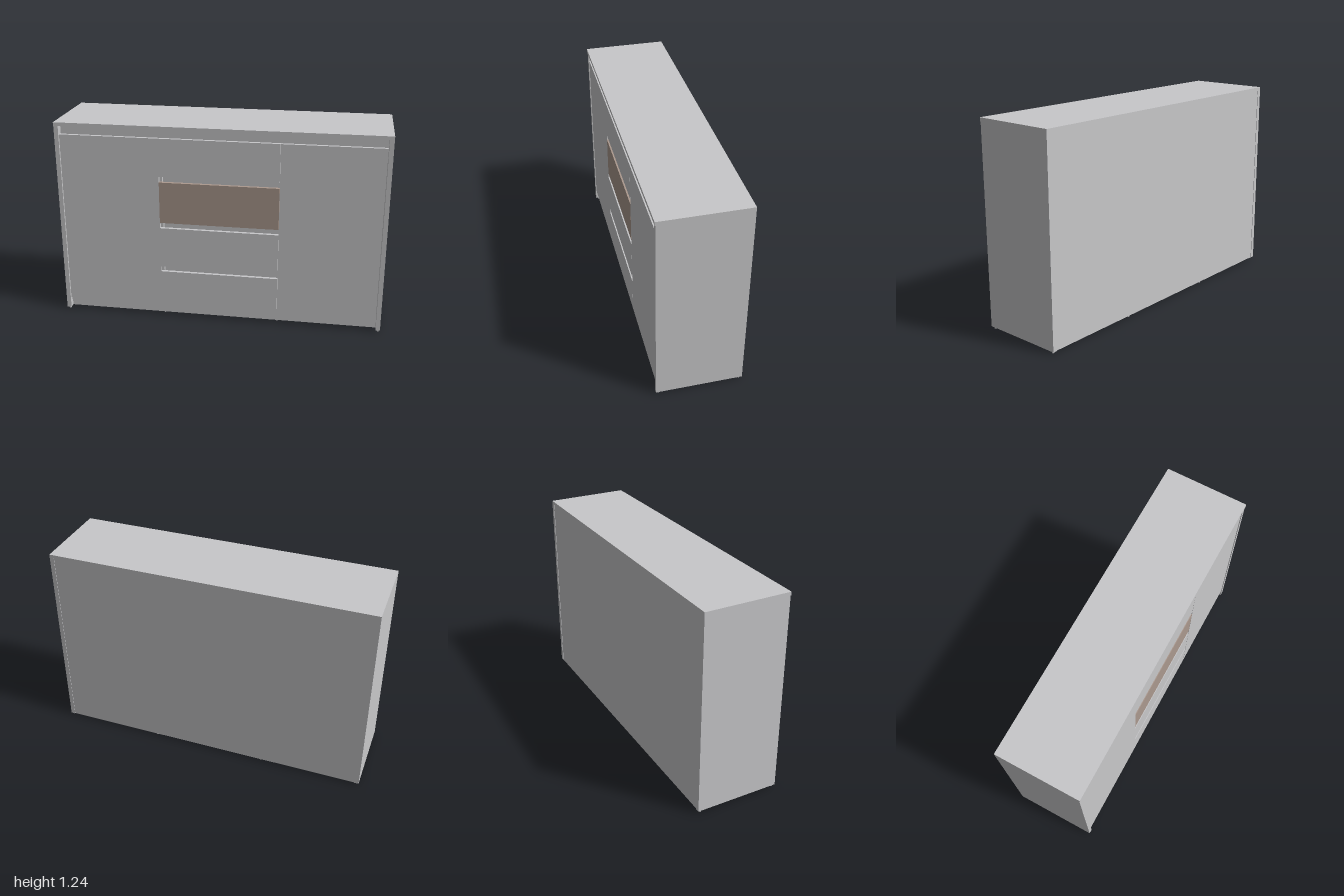
import * as THREE from 'three';

export function createModel() {
  const sideboard = new THREE.Group();
  sideboard.name = 'sideboard';

  const grey = new THREE.MeshStandardMaterial({ color: 0xc8c8ca });
  grey.name = 'light grey';
  const brown = new THREE.MeshStandardMaterial({ color: 0xab998e });
  brown.name = 'warm brown';

  // Box given by its lower and upper bounds on each axis
  function panel(name, [x0, x1], [y0, y1], [z0, z1], material = grey) {
    const mesh = new THREE.Mesh(new THREE.BoxGeometry(x1 - x0, y1 - y0, z1 - z0), material);
    mesh.position.set((x0 + x1) / 2, (y0 + y1) / 2, (z0 + z1) / 2);
    mesh.name = name;
    sideboard.add(mesh);
  }

  const base = 0.012, under = 1.22, back = -0.26;
  const frontZ = [0.234, 0.254];
  const inner = [-0.973, 0.973];

  // Carcass
  panel('topBoard', [-1, 1], [under, 1.242], [back, 0.262]);
  panel('rightSide', [-1, -0.973], [base, under], [back, 0.258]);
  panel('leftSide', [0.973, 1], [base, under], [back, 0.258]);
  panel('backPanel', inner, [base, under], [-0.257, -0.247]);
  panel('bottomBoard', inner, [0.055, 0.08], [-0.247, 0.232]);
  panel('plinth', inner, [base, 0.078], [0.2, 0.222]);
  panel('underside', inner, [base + 0.002, 0.02], [-0.247, 0.2]);
  panel('topRail', inner, [1.1, under], [0.2, 0.215]);
  for (const s of [-1, 1]) {
    const x = s * 0.362;
    panel('divider', [x - 0.012, x + 0.012], [0.08, 1.16], [-0.247, 0.232]);
  }

  // Doors
  panel('rightDoor', [-0.97, -0.366], [0.082, 1.167], frontZ);
  panel('leftDoor', [0.364, 0.97], [0.082, 1.167], frontZ);

  // Drawer fronts, with a grip gap above each
  const drawers = [[0.082, 0.31], [0.344, 0.6], [0.635, 0.895], [0.931, 1.167]];
  drawers.forEach((y, i) => {
    panel('drawerFront', [-0.366, 0.361], y, frontZ, i === 2 ? brown : grey);
    if (i < 3) panel('gripBack', [-0.35, 0.35], [y[1] - 0.03, y[1] + 0.064], [0.195, 0.208]);
  });

  // Small round feet
  const footShape = new THREE.CylinderGeometry(0.007, 0.007, 0.016, 16);
  for (const [x, frontFoot] of [[0.986, 0.24], [0.36, 0.2]]) {
    for (const s of [-1, 1]) {
      for (const z of [frontFoot, -0.242]) {
        const foot = new THREE.Mesh(footShape, grey);
        foot.name = 'foot';
        foot.position.set(s * x, 0.008, z);
        sideboard.add(foot);
      }
    }
  }

  return sideboard;
}
